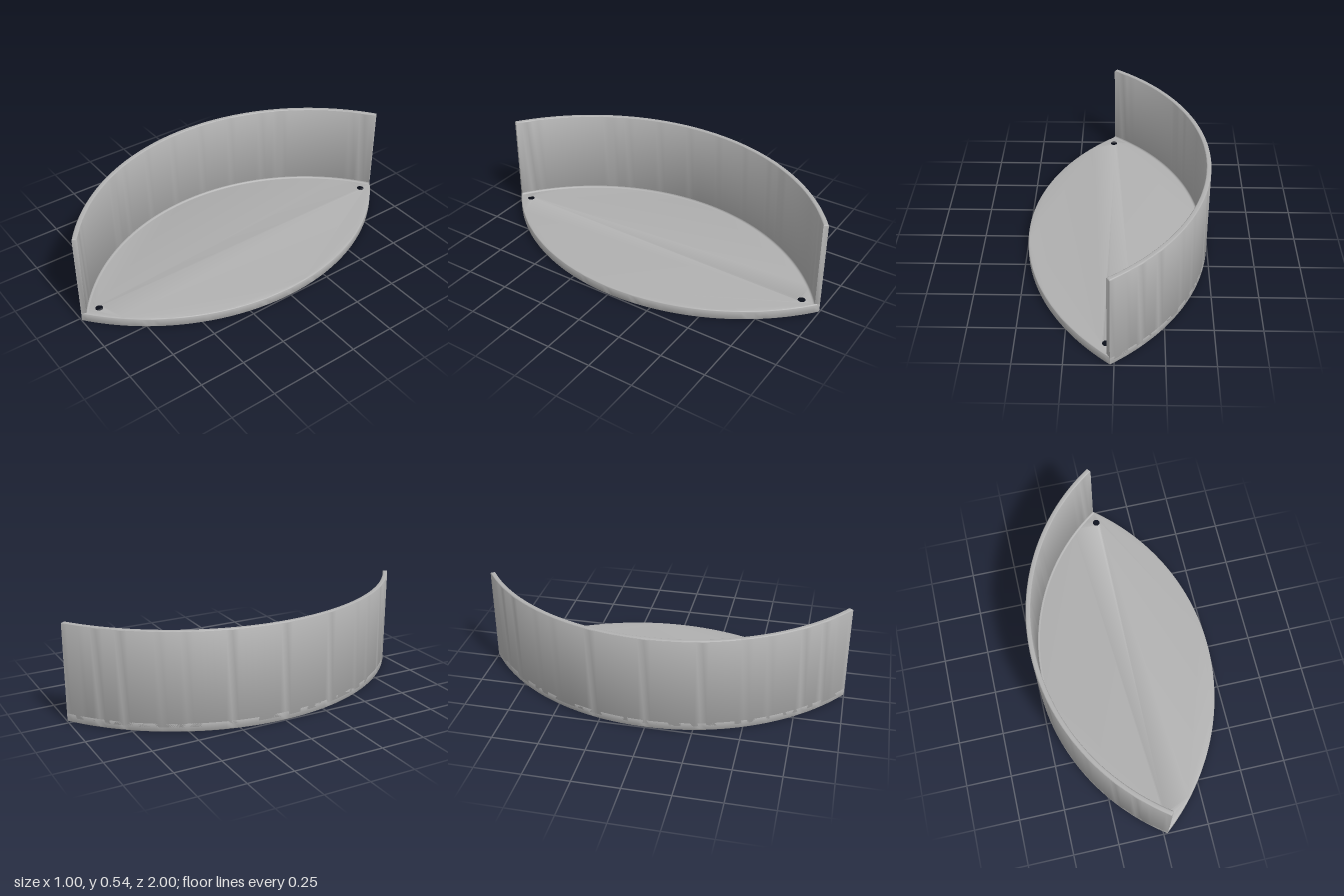
import * as THREE from 'three';
import { toCreasedNormals } from 'three/addons/utils/BufferGeometryUtils.js';

const TIP_X = 0.02;                 // both arcs meet here at z = -1 and z = 1
const LEFT_R = 1.2215, RIGHT_R = 1.2817;
const LEFT_CX = -0.5 + LEFT_R, RIGHT_CX = 0.5 - RIGHT_R;
const WALL = 0.027, BASE_H = 0.054, HEIGHT = 0.54;
const HALF = Math.asin(1 / LEFT_R); // half angle of the wall arc
const SEGMENTS = 72;

// Points on an arc about (cx, 0); side -1 bulges to -x, side 1 to +x
function arc(cx, radius, half, side) {
  return Array.from({ length: SEGMENTS + 1 }, (_, i) => {
    const a = half * (2 * i / SEGMENTS - 1);
    return new THREE.Vector2(cx + side * radius * Math.cos(a), radius * Math.sin(a));
  });
}

// Upright extrusion with rounded edges, keeping the outline at full size
function slab(shape, y0, y1, round) {
  const geometry = new THREE.ExtrudeGeometry(shape, {
    depth: y1 - y0 - 2 * round, bevelEnabled: true, bevelThickness: round,
    bevelSize: round, bevelOffset: -round, bevelSegments: 4, curveSegments: 32,
  });
  geometry.translate(0, 0, y0 + round).rotateX(-Math.PI / 2);
  return toCreasedNormals(geometry, 0.6);
}

export function createModel() {
  const group = new THREE.Group();
  const grey = new THREE.MeshStandardMaterial({ color: 0xb0b0b0 });
  grey.name = 'grey';
  const add = (name, geometry) => {
    const mesh = new THREE.Mesh(geometry, grey);
    mesh.name = name;
    group.add(mesh);
  };

  // Pointed oval base with a screw hole near each tip
  const outer = arc(LEFT_CX, LEFT_R, HALF, -1);
  const front = arc(RIGHT_CX, RIGHT_R, Math.asin(1 / RIGHT_R), 1).reverse();
  const base = new THREE.Shape([...outer, ...front.slice(1, -1)]);
  for (const s of [-1, 1]) {
    base.holes.push(new THREE.Path().absarc(TIP_X + 0.02, s * 0.905, 0.028, 0, Math.PI * 2, true));
  }
  add('base', slab(base, 0, BASE_H, 0.008));

  // Curved wall along one edge, its ends cut square to the arc
  const inner = arc(LEFT_CX, LEFT_R - WALL, HALF, -1).reverse();
  add('wall', slab(new THREE.Shape([...outer, ...inner]), 0.02, HEIGHT, 0.007));

  // Small concave fillet where the wall meets the base
  const f = 0.01;
  const profile = Array.from({ length: 6 }, (_, i) => {
    const t = -i / 5 * Math.PI / 2;
    return new THREE.Vector2(LEFT_R - WALL - f + f * Math.cos(t), BASE_H + f + f * Math.sin(t));
  });
  const fillet = new THREE.LatheGeometry(profile, SEGMENTS, Math.PI * 1.5 - HALF, HALF * 2);
  add('fillet', fillet.translate(LEFT_CX, 0, 0));

  return group;
}
